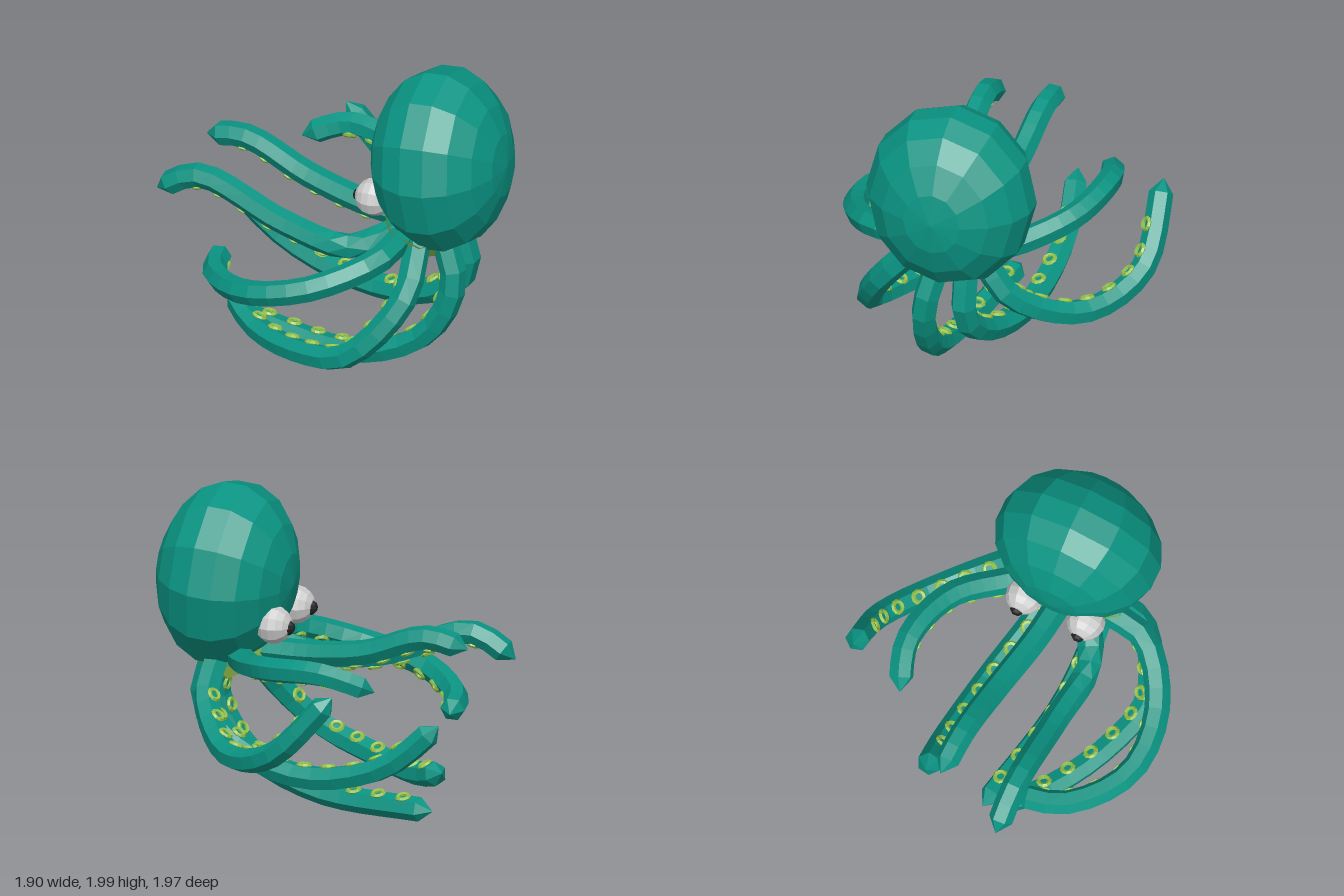
import * as THREE from 'three';

const mat = (color, side = THREE.FrontSide) =>
  new THREE.MeshStandardMaterial({ color, flatShading: true, side });
const skin = mat(0x0a9483);
const lime = mat(0x93c04c);
const limeThin = mat(0x93c04c, THREE.DoubleSide);
const white = mat(0xcccccc);
const black = mat(0x222222);

function add(parent, name, geometry, material, pos = [0, 0, 0]) {
  const mesh = new THREE.Mesh(geometry, material);
  mesh.name = name;
  mesh.position.set(...pos);
  parent.add(mesh);
  return mesh;
}

// Arms in order around the mouth; drop lowers the point the suckers look towards
const ARMS = [
  { name: 'leftArm', drop: -0.1, path: [[0.5, 0.78, 0.45], [0.76, 0.57, 0.08], [0.88, 0.68, -0.35], [0.77, 1.09, -0.72]] },
  { name: 'frontLeftArm', drop: 0, path: [[0.3, 0.65, 0.63], [0.28, 0.41, 0.36], [0.24, 0.32, -0.1],
    [0.13, 0.46, -0.6], [0, 0.75, -0.91]] },
  { name: 'frontArm', drop: 0, path: [[0.07, 0.68, 0.72], [0, 0.32, 0.57], [-0.13, 0.1, 0.15], [-0.24, 0.1, -0.67]] },
  { name: 'frontRightArm', drop: -0.4, path: [[-0.3, 0.7, 0.65], [-0.54, 0.34, 0.42], [-0.55, 0.24, 0.05],
    [-0.46, 0.22, -0.37], [-0.34, 0.31, -0.66]] },
  { name: 'rightArm', drop: 0.45, path: [[-0.42, 0.96, 0.53], [-0.75, 0.83, 0.29], [-0.88, 0.73, -0.08],
    [-0.72, 0.66, -0.46], [-0.45, 0.64, -0.63]] },
  { name: 'backRightArm', drop: 0.4, path: [[-0.28, 0.89, 0.2], [-0.39, 0.95, -0.2], [-0.55, 1.15, -0.72], [-0.64, 1.01, -0.98]] },
  { name: 'backArm', drop: 0.6, path: [[0.03, 1.01, 0.05], [-0.03, 1.08, -0.33], [-0.12, 1.23, -0.72], [-0.19, 1.19, -0.98]] },
  { name: 'backLeftArm', drop: 0.3, path: [[0.42, 1.01, 0.2], [0.57, 1.08, -0.1], [0.55, 1.12, -0.48], [0.38, 1.02, -0.73]] },
];

// Position and axes on an arm: tangent, sucker-side normal, sideways
function frameAt(curve, aim, u) {
  const p = curve.getPointAt(u);
  const t = curve.getTangentAt(u);
  const n = aim.clone().sub(p);
  n.addScaledVector(t, -n.dot(t)).normalize();
  return { p, n, b: new THREE.Vector3().crossVectors(t, n) };
}

const armRadius = (u) => 0.08 - 0.007 * u;

// Six-sided tube ending in a short point
function armGeometry(curve, aim) {
  const SIDES = 6, RINGS = 15;
  const uEnd = 1 - 0.09 / curve.getLength();
  const pos = [], index = [];
  for (let i = 0; i <= RINGS; i++) {
    const u = (uEnd * i) / RINGS;
    const { p, n, b } = frameAt(curve, aim, u);
    for (let j = 0; j < SIDES; j++) {
      const a = ((j + 0.5) / SIDES) * Math.PI * 2;
      const q = p.clone().addScaledVector(n, Math.cos(a) * armRadius(u))
        .addScaledVector(b, Math.sin(a) * armRadius(u));
      pos.push(q.x, q.y, q.z);
    }
  }
  const tip = pos.length / 3;
  pos.push(...curve.getPointAt(1).toArray());
  for (let i = 0; i <= RINGS; i++) {
    for (let j = 0; j < SIDES; j++) {
      const a = i * SIDES + j, b = i * SIDES + ((j + 1) % SIDES);
      if (i === RINGS) index.push(a, b, tip);
      else index.push(a, b, a + SIDES, b, b + SIDES, a + SIDES);
    }
  }
  const g = new THREE.BufferGeometry();
  g.setAttribute('position', new THREE.Float32BufferAttribute(pos, 3));
  g.setIndex(index);
  g.computeVertexNormals();
  return g;
}

function makeArm({ name, path, drop }, i) {
  const arm = new THREE.Group();
  arm.name = name;
  // Roots sit evenly on an oval under the head
  const angle = (i / ARMS.length) * Math.PI * 2;
  const root = new THREE.Vector3(0.1 + 0.24 * Math.cos(angle), 0.99, 0.49 + 0.11 * Math.sin(angle));
  const points = [root, ...path.map((p) => new THREE.Vector3(...p))];
  const curve = new THREE.CatmullRomCurve3(points, false, 'centripetal');
  const aim = root.clone().lerp(points[points.length - 1], 0.5);
  aim.y -= drop;
  add(arm, 'armBody', armGeometry(curve, aim), skin);

  // Row of sucker rings along the inner face
  const ring = new THREE.TorusGeometry(0.034, 0.014, 5, 10);
  const len = curve.getLength();
  for (let s = 0.3; s < len - 0.15; s += 0.175) {
    const { p, n } = frameAt(curve, aim, s / len);
    const sucker = add(arm, 'sucker', ring, lime);
    sucker.position.copy(p).addScaledVector(n, armRadius(s / len) * 0.866 + 0.005);
    sucker.quaternion.setFromUnitVectors(new THREE.Vector3(0, 0, 1), n);
  }
  return arm;
}

export function createModel() {
  const model = new THREE.Group();
  model.name = 'octopus';
  const yaw = 0.32;

  // Head: faceted egg with its poles facing front and back, leaning slightly back
  const head = new THREE.SphereGeometry(1, 12, 9);
  head.rotateX(Math.PI / 2).scale(0.515, 0.57, 0.415).rotateX(-0.08).rotateY(yaw);
  add(model, 'head', head, skin, [0.155, 1.435, 0.565]);

  // Webbing: thin open skirt between the arm roots, lower at the front
  const web = new THREE.CylinderGeometry(0.35, 0.24, 0.16, 8, 1, true);
  web.scale(1, 1, 0.65).rotateX(0.45).rotateZ(-0.15);
  add(model, 'webbing', web, limeThin, [0.09, 0.95, 0.47]);

  // Beak
  const beak = new THREE.ConeGeometry(0.07, 0.22, 8);
  beak.rotateX(Math.PI + 0.3);
  add(model, 'beak', beak, white, [0.1, 0.89, 0.37]);

  // Eyes with pupils
  const look = new THREE.Vector3(-Math.sin(yaw) * 0.8, -0.08, -Math.cos(yaw)).setLength(0.09);
  for (const [name, pos] of [['leftEye', [0.215, 1.21, 0.17]], ['rightEye', [-0.16, 1.21, 0.3]]]) {
    const eye = new THREE.Group();
    eye.name = name;
    eye.position.set(...pos);
    const ball = new THREE.SphereGeometry(0.115, 10, 8);
    add(eye, 'eyeball', ball.rotateX(Math.PI / 2).rotateY(yaw), white);
    add(eye, 'pupil', new THREE.SphereGeometry(0.046, 8, 6), black, look.toArray());
    model.add(eye);
  }

  ARMS.forEach((spec, i) => model.add(makeArm(spec, i)));
  return model;
}
